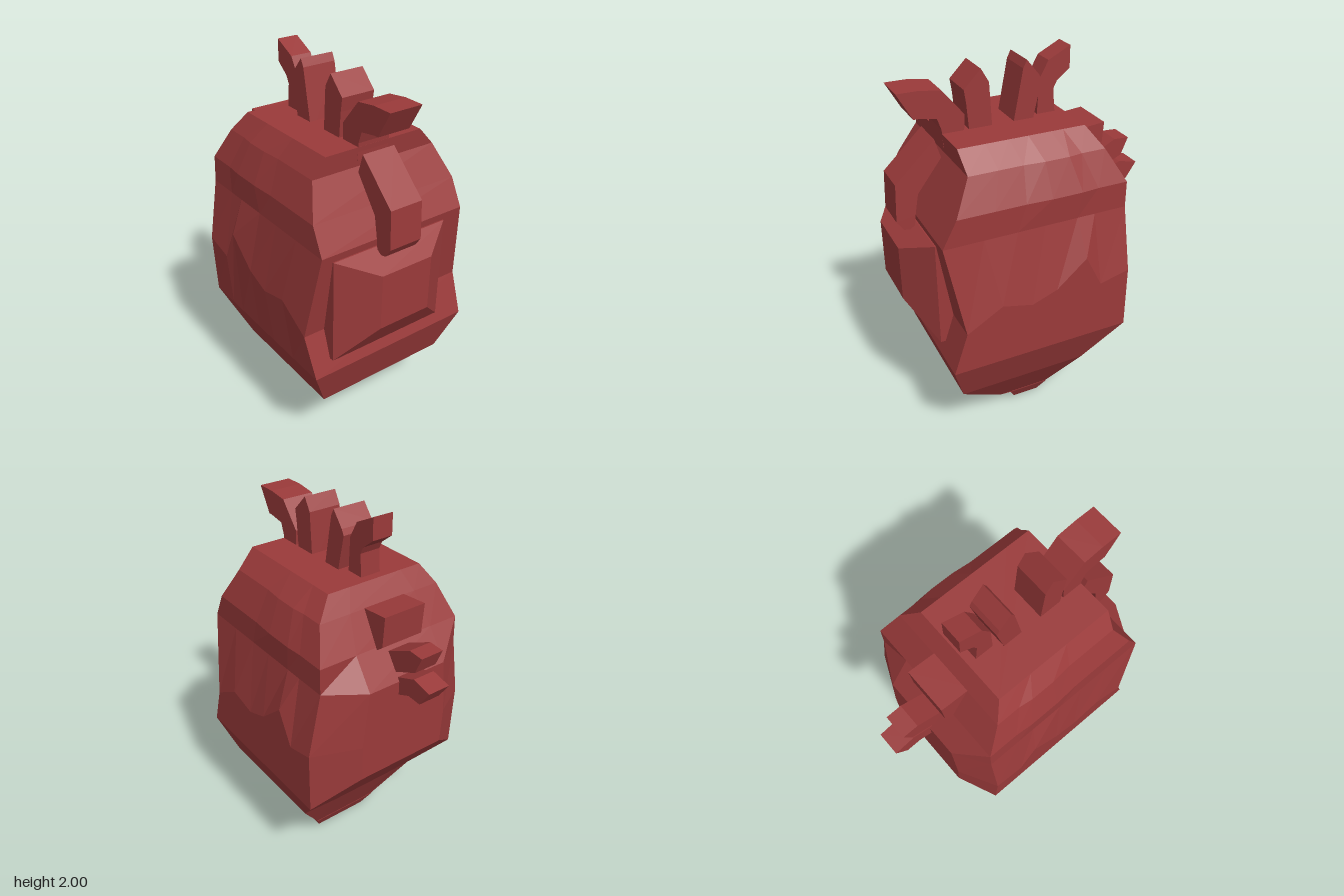
import * as THREE from 'three';

const material = new THREE.MeshStandardMaterial({ color: 0x9a3a3a, flatShading: true, roughness: 0.8 });

// Skin a stack of closed rings (counter-clockwise seen from the far end) and cap both ends
function loft(name, rings) {
  const pos = [];
  const tri = (a, b, c) => pos.push(...a, ...b, ...c);
  const n = rings[0].length;
  for (let r = 0; r < rings.length - 1; r++) {
    const lo = rings[r], hi = rings[r + 1];
    for (let i = 0; i < n; i++) {
      const j = (i + 1) % n;
      tri(lo[i], lo[j], hi[j]);
      tri(lo[i], hi[j], hi[i]);
    }
  }
  const first = rings[0], last = rings[rings.length - 1];
  for (let i = 1; i < n - 1; i++) {
    tri(first[0], first[i + 1], first[i]);
    tri(last[0], last[i], last[i + 1]);
  }
  const g = new THREE.BufferGeometry();
  g.setAttribute('position', new THREE.Float32BufferAttribute(pos, 3));
  g.computeVertexNormals();
  const mesh = new THREE.Mesh(g, material);
  mesh.name = name;
  return mesh;
}

// Body ring: columns across front and back, plus a chamfered face on the -x side
const columns = [0, 0.18, 0.28, 0.46, 0.61, 0.79, 1];
const zigzag = [0.92, 0.88, 1.06, 0.92, 0.87, 0.91, 0.8];
function bodyRing({ y, xl, xc, xr, zf, zb, yl = y, dent = 0 }) {
  const height = (i) => (Array.isArray(y) ? y[i] : y);
  const leftY = Array.isArray(yl) ? yl[0] : yl;
  const side = (z, bump) => columns.map((f, i) => [
    xc + (xr - xc) * f, height(i), z + (i === 2 || i === 3 ? bump : 0)]);
  return [
    ...side(zf, dent),
    ...side(zb, -dent).reverse(),
    [xl, leftY, zb * 0.5],
    [xl, leftY, zf * 0.6],
  ];
}

// Bent rectangular vessel: each section is [x, y] on its left-hand and right-hand edge
function vessel(name, z0, z1, sections) {
  return loft(name, sections.map(([ax, ay, bx, by]) => [
    [ax, ay, z1], [bx, by, z1], [bx, by, z0], [ax, ay, z0]]));
}

export function createModel() {
  const heart = new THREE.Group();
  heart.name = 'heart';

  // Main muscle, from tip to top
  heart.add(loft('body', [
    { y: 0, xl: -0.03, xc: -0.03, xr: 0.12, zf: 0.13, zb: -0.19 },
    { y: 0.075, xl: -0.07, xc: -0.07, xr: 0.16, zf: 0.18, zb: -0.23 },
    { y: 0.08, xl: -0.07, xc: -0.07, xr: 0.22, zf: 0.18, zb: -0.23 },
    { y: 0.34, xl: -0.21, xc: -0.2, xr: 0.51, zf: 0.37, zb: -0.4 },
    { y: 0.575, yl: 0.73, xl: -0.51, xc: -0.4, xr: 0.585, zf: 0.47, zb: -0.495 },
    { y: zigzag, yl: 0.93, xl: -0.51, xc: -0.4, xr: 0.51, zf: 0.487, zb: -0.495 },
    { y: 1.26, yl: 1.24, xl: -0.51, xc: -0.4, xr: 0.585, zf: 0.435, zb: -0.42 },
    { y: 1.4, xl: -0.4, xc: -0.4, xr: 0.51, zf: 0.43, zb: -0.42, dent: 0.008 },
    { y: 1.57, xl: -0.305, xc: -0.305, xr: 0.42, zf: 0.37, zb: -0.35, dent: 0.01 },
    { y: 1.67, xl: -0.24, xc: -0.24, xr: 0.43, zf: 0.305, zb: -0.255 },
  ].map(bodyRing)));

  // Faceted swelling on the +x side
  heart.add(loft('sideBulge', [
    [0.45, 0.65, 1.22, -0.31, 0.37],
    [0.585, 0.65, 1.22, -0.31, 0.37],
    [0.71, 0.84, 1.14, -0.12, 0.18],
  ].map(([x, y0, y1, z0, z1]) => [[x, y0, z1], [x, y0, z0], [x, y1, z0], [x, y1, z1]])));

  // Vessels rising from the top
  heart.add(
    vessel('curvedTopVessel', -0.025, 0.09, [
      [-0.2, 1.6, -0.09, 1.6], [-0.185, 1.79, -0.105, 1.85],
      [-0.205, 1.83, -0.155, 1.94], [-0.275, 1.885, -0.275, 2]]),
    vessel('slantedTopVessel', -0.06, 0.125, [
      [-0.04, 1.6, 0.065, 1.6], [-0.1, 1.86, 0, 1.93], [-0.085, 1.89, -0.02, 1.97]]),
    vessel('uprightTopVessel', -0.06, 0.125, [
      [0.165, 1.6, 0.285, 1.6], [0.18, 1.89, 0.3, 1.8], [0.22, 1.96, 0.31, 1.87]]),
    vessel('archedTopVessel', -0.06, 0.12, [
      [0.32, 1.6, 0.425, 1.6], [0.31, 1.75, 0.43, 1.69], [0.42, 1.885, 0.45, 1.75],
      [0.53, 1.9, 0.54, 1.765], [0.64, 1.9, 0.565, 1.765]]),
  );

  // Large vessel drooping down the +x side
  heart.add(vessel('droopingSideVessel', -0.06, 0.125, [
    [0.47, 1.65, 0.44, 1.55], [0.68, 1.45, 0.57, 1.38],
    [0.69, 1.25, 0.59, 1.27], [0.655, 1.2, 0.6, 1.19]]));

  // Three short vessels on the -x side
  heart.add(
    vessel('upperSideVessel', -0.09, 0.155, [
      [-0.37, 1.36, -0.28, 1.57], [-0.445, 1.42, -0.457, 1.587]]),
    vessel('middleSideVessel', -0.03, 0.1, [
      [-0.42, 1.25, -0.36, 1.34], [-0.54, 1.31, -0.57, 1.445], [-0.615, 1.345, -0.655, 1.44]]),
    vessel('lowerSideVessel', -0.03, 0.095, [
      [-0.48, 1.15, -0.45, 1.24], [-0.58, 1.195, -0.61, 1.305], [-0.66, 1.19, -0.72, 1.28]]),
  );
  return heart;
}
